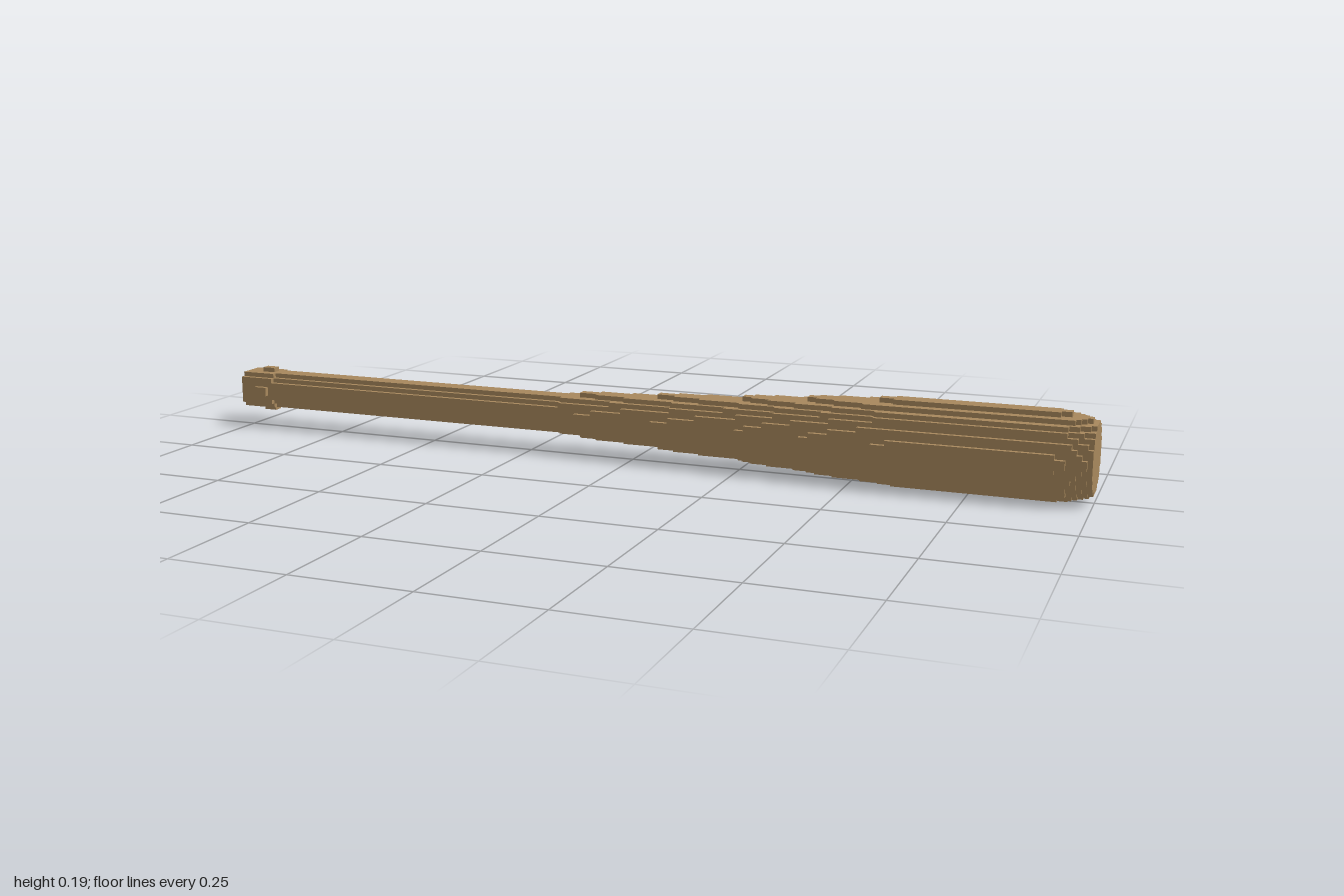
import * as THREE from 'three';

const SLICES = 194;          // blocks along the length
const V = 2 / SLICES;        // size of one block
const ROWS = 9;              // blocks from the axis to the widest surface

// Radius of the bat (in blocks) along x
const PROFILE = [
  [-1, 4.32], [-0.963, 4.53], [-0.945, 4.62], [-0.925, 4.53], [-0.913, 4.3], [-0.88, 4],
  [-0.215, 4], [-0.125, 4.53], [0.065, 5.52], [0.255, 6.52], [0.405, 7.52], [0.56, 8.51],
  [0.6, 8.68], [0.92, 8.68], [0.945, 8.51], [0.985, 7.52], [1, 6.9],
];

function radiusAt(x) {
  const i = PROFILE.findIndex(([px]) => px >= x);
  const [x0, r0] = PROFILE[i - 1], [x1, r1] = PROFILE[i];
  return r0 + (r1 - r0) * (x - x0) / (x1 - x0);
}

// Half width in blocks of every row of the stepped disc at slice i
function sectionAt(i) {
  const rows = new Array(ROWS + 1).fill(0);
  if (i < 0 || i >= SLICES) return rows;
  const r = radiusAt(-1 + (i + 0.5) * V);
  for (let j = 0; j < ROWS; j++) {
    const rest = r * r - (j + 0.5) ** 2;
    if (rest >= 0.25) rows[j] = Math.floor(Math.sqrt(rest) + 0.5);
  }
  return rows;
}

const same = (a, b) => a.every((h, j) => h === b[j]);

// Outer faces of the stepped solid for slices from..to
function steppedGeometry(from, to, closeEnd) {
  const pos = [];
  // One face of the upper +z quarter, mirrored into all four quarters
  const face = (...corners) => {
    for (const sy of [1, -1]) for (const sz of [1, -1]) {
      const p = corners.map(([x, y, z]) => [-1 + x * V, (ROWS + sy * y) * V, sz * z * V]);
      if (sy * sz < 0) p.reverse();
      for (const k of [0, 1, 2, 0, 2, 3]) pos.push(...p[k]);
    }
  };
  // Ring of end faces where two neighbouring sections differ
  const step = (x, before, after) => {
    for (let j = 0; j < ROWS; j++) {
      const a = before[j], b = after[j];
      if (a > b) face([x, j, b], [x, j + 1, b], [x, j + 1, a], [x, j, a]);
      if (b > a) face([x, j, a], [x, j, b], [x, j + 1, b], [x, j + 1, a]);
    }
  };
  for (let i = from; i < to;) {
    const rows = sectionAt(i);
    let end = i + 1;
    while (end < to && same(rows, sectionAt(end))) end++;
    step(i, sectionAt(i - 1), rows);
    for (let j = 0; j < ROWS; j++) {
      const h = rows[j], next = rows[j + 1];
      if (h > 0) face([i, j, h], [end, j, h], [end, j + 1, h], [i, j + 1, h]);
      if (h > next) face([i, j + 1, h], [end, j + 1, h], [end, j + 1, next], [i, j + 1, next]);
    }
    i = end;
  }
  if (closeEnd) step(to, sectionAt(to - 1), sectionAt(to));
  const geometry = new THREE.BufferGeometry();
  geometry.setAttribute('position', new THREE.Float32BufferAttribute(pos, 3));
  geometry.computeVertexNormals();
  return geometry;
}

export function createModel() {
  const group = new THREE.Group();
  group.name = 'bat';
  const wood = new THREE.MeshStandardMaterial({ color: 0xaa8a5e });
  const addPart = (name, from, to) => {
    const mesh = new THREE.Mesh(steppedGeometry(from, to, to === SLICES), wood);
    mesh.name = name;
    group.add(mesh);
  };
  addPart('knob', 0, 9);
  addPart('handle', 9, 80);
  addPart('taper', 80, 152);
  addPart('barrel', 152, SLICES);
  return group;
}
